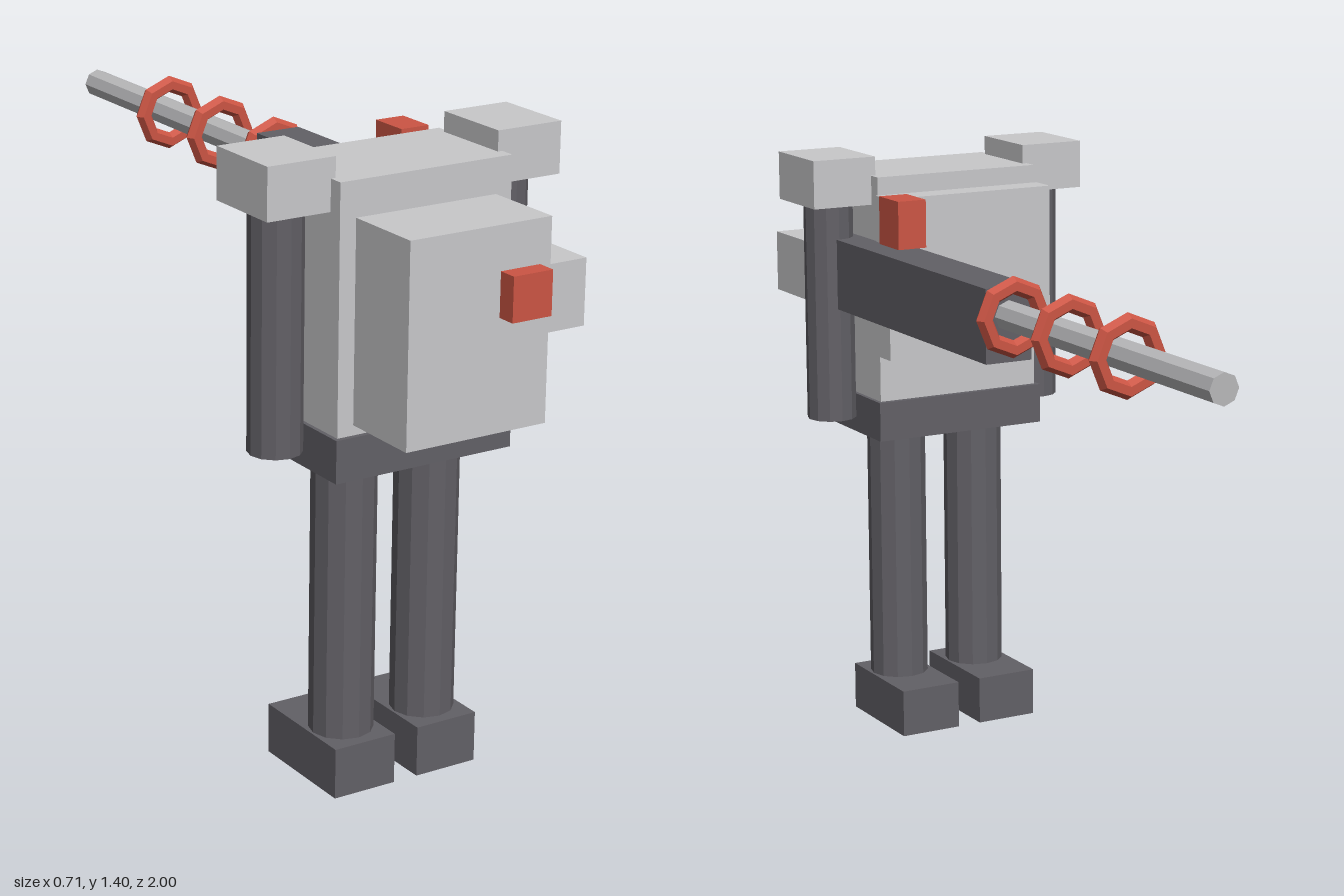
import * as THREE from 'three';

export function createModel() {
  const model = new THREE.Group();
  model.name = 'robot';

  const mat = (name, color, flatShading = false) => {
    const m = new THREE.MeshStandardMaterial({ color, flatShading });
    m.name = name;
    return m;
  };
  const lightGrey = mat('light grey armour', 0xc8c8ca);
  const darkGrey = mat('dark grey frame', 0x626066, true);
  const steel = mat('steel', 0xb8b8ba, true);
  const red = mat('red', 0xcc5544, true);

  const add = (name, geometry, material, x, y, z) => {
    const mesh = new THREE.Mesh(geometry, material);
    mesh.name = name;
    mesh.position.set(x, y, z);
    model.add(mesh);
    return mesh;
  };
  // Box given by its limits on each axis
  const box = (name, material, [x0, x1], [y0, y1], [z0, z1]) =>
    add(name, new THREE.BoxGeometry(x1 - x0, y1 - y0, z1 - z0), material,
      (x0 + x1) / 2, (y0 + y1) / 2, (z0 + z1) / 2);
  // Upright round limb
  const limb = (name, radius, x, y0, y1, z) =>
    add(name, new THREE.CylinderGeometry(radius, radius, y1 - y0, 12), darkGrey, x, (y0 + y1) / 2, z);

  // Torso
  box('torso', lightGrey, [-0.207, 0.207], [0.822, 1.355], [0.512, 0.769]);
  box('chestPlate', lightGrey, [-0.169, 0.169], [0.845, 1.278], [0.769, 0.957]);
  box('backPlate', lightGrey, [-0.215, 0.212], [0.933, 1.313], [0.448, 0.512]);
  box('pelvis', darkGrey, [-0.216, 0.216], [0.73, 0.823], [0.498, 0.78]);
  box('chestLight', red, [0.048, 0.143], [1.087, 1.183], [0.957, 1]);

  // Paired limbs
  for (const [side, s] of [['left', 1], ['right', -1]]) {
    box(side + 'Shoulder', lightGrey, [s * 0.275 - 0.079, s * 0.275 + 0.079], [1.287, 1.399], [0.545, 0.735]);
    limb(side + 'Arm', 0.058, s * 0.274, 0.77, 1.29, 0.64);
    limb(side + 'Leg', 0.07, s * 0.104, 0.11, 0.735, 0.64);
    box(side + 'Foot', darkGrey, [s * 0.104 - 0.075, s * 0.104 + 0.075], [0, 0.113], [0.47, 0.735]);
  }

  // Long gun pointing backwards on the left side
  box('gunBody', darkGrey, [0.168, 0.28], [1.04, 1.205], [-0.147, 0.752]);
  box('gunFrontBlock', lightGrey, [0.179, 0.27], [1.03, 1.173], [0.752, 0.942]);
  box('gunSight', red, [0.189, 0.259], [1.22, 1.33], [0.304, 0.4]);
  const barrel = new THREE.CylinderGeometry(0.034, 0.034, 0.853, 8);
  barrel.rotateX(Math.PI / 2);
  add('gunBarrel', barrel, steel, 0.224, 1.142, -0.5735);
  for (const z of [-0.167, -0.404, -0.641]) {
    add('barrelRing', new THREE.TorusGeometry(0.07, 0.02, 6, 8), red, 0.224, 1.142, z);
  }

  return model;
}
